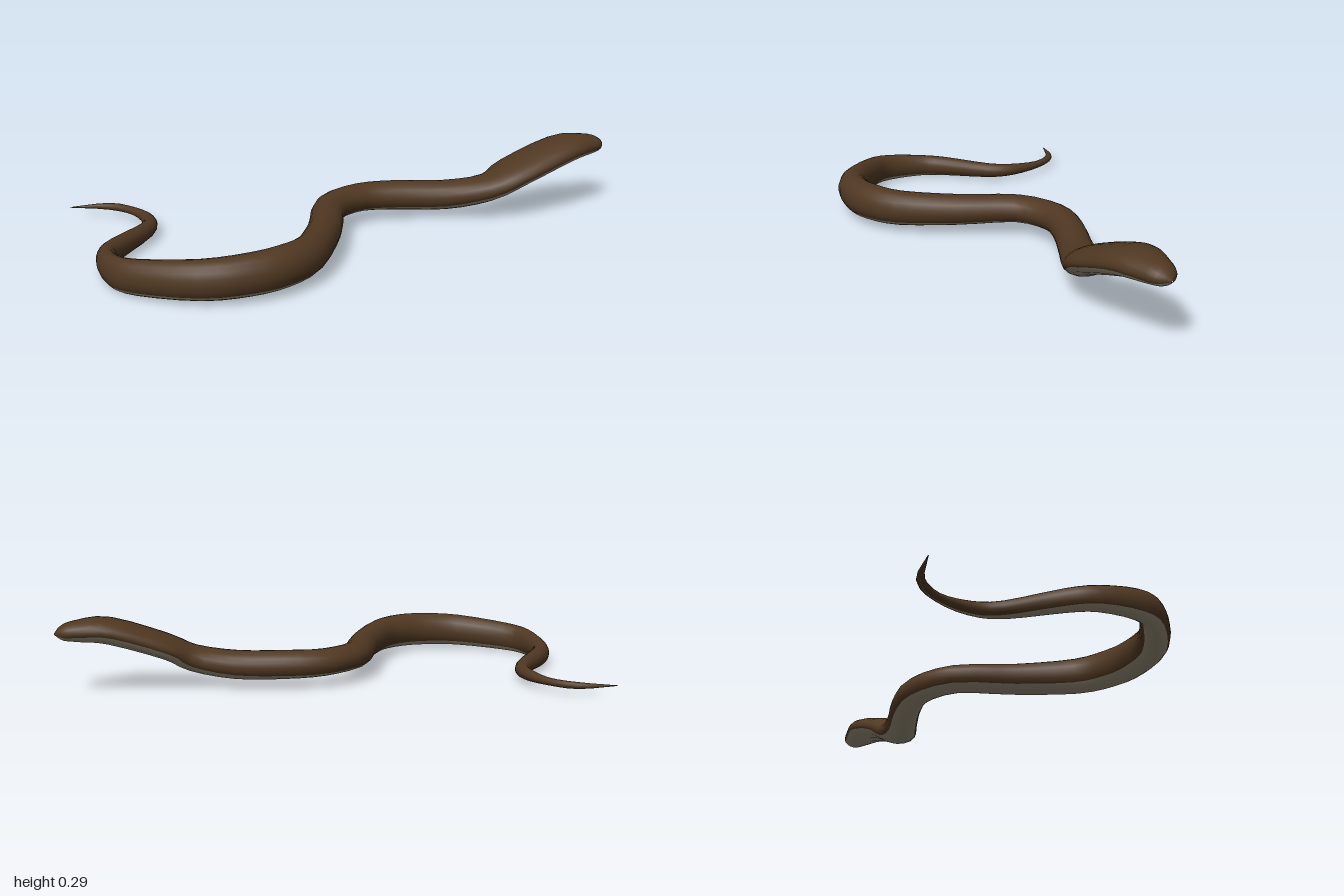
import * as THREE from 'three';

// Stations from tail tip to snout: x, y, z, half width, half height, belly half angle
const STATIONS = [
  [-0.83, 0.04, -0.57, 0.001, 0.001, 0.02],
  [-0.70, 0.04, -0.50, 0.014, 0.013, 0.02],
  [-0.643, 0.04, -0.39, 0.016, 0.015, 0.1],
  [-0.645, 0.042, -0.26, 0.024, 0.024, 0.3],
  [-0.70, 0.043, -0.165, 0.03, 0.03, 0.5],
  [-0.86, 0.045, -0.05, 0.035, 0.04, 0.7],
  [-0.93, 0.048, 0.03, 0.036, 0.045, 0.8],
  [-0.963, 0.058, 0.17, 0.037, 0.055, 0.85],
  [-0.93, 0.066, 0.28, 0.045, 0.06, 0.85],
  [-0.79, 0.08, 0.44, 0.056, 0.067, 0.85],
  [-0.65, 0.087, 0.50, 0.06, 0.07, 0.85],
  [-0.53, 0.09, 0.505, 0.062, 0.07, 0.85],
  [-0.40, 0.09, 0.455, 0.06, 0.066, 0.85],
  [-0.24, 0.093, 0.30, 0.06, 0.058, 0.85],
  [-0.10, 0.097, 0.125, 0.06, 0.052, 0.85],
  [0.06, 0.095, 0.075, 0.06, 0.052, 0.85],
  [0.20, 0.092, 0.12, 0.06, 0.055, 0.9],
  [0.36, 0.09, 0.215, 0.063, 0.055, 1.0],
  [0.50, 0.115, 0.295, 0.08, 0.05, 1.2],
  [0.60, 0.165, 0.325, 0.108, 0.048, 1.35],
  [0.80, 0.235, 0.365, 0.097, 0.05, 1.3],
  [0.91, 0.242, 0.38, 0.066, 0.041, 1.2],
  [0.97, 0.238, 0.387, 0.042, 0.028, 1.1],
  [1.0, 0.235, 0.39, 0.002, 0.002, 1.0],
];
const STEPS = (STATIONS.length - 1) * 3;
const BELLY = 6, BACK = 14, SIDES = BELLY + BACK;

const spline = (from) => new THREE.CatmullRomCurve3(
  STATIONS.map((s) => new THREE.Vector3(s[from], s[from + 1], s[from + 2])), false, 'catmullrom', 0.5);

// Elliptical cross-sections swept along the spine, split into belly and back faces
function snakeGeometry() {
  const spine = spline(0), sizes = spline(3);
  const up = new THREE.Vector3(), side = new THREE.Vector3(), p = new THREE.Vector3();
  const positions = [], belly = [], back = [];

  for (let i = 0; i <= STEPS; i++) {
    const t = i / STEPS;
    const centre = spine.getPoint(t), size = sizes.getPoint(t), tangent = spine.getTangent(t);
    const width = Math.max(size.x, 0.001), height = Math.max(size.y, 0.001);
    const half = Math.max(size.z, 0.01);
    side.crossVectors(tangent, up.set(0, 1, 0)).normalize();
    up.crossVectors(side, tangent).normalize();

    for (let j = 0; j < SIDES; j++) {
      // Angle 0 is the bottom; the first columns span the belly
      const a = j < BELLY
        ? -half + (2 * half * j) / BELLY
        : half + ((2 * Math.PI - 2 * half) * (j - BELLY)) / BACK;
      p.copy(centre).addScaledVector(side, width * Math.sin(a)).addScaledVector(up, -height * Math.cos(a));
      positions.push(p.x, p.y, p.z);

      if (i < STEPS) {
        const k = (j + 1) % SIDES, row = i * SIDES, next = row + SIDES;
        (j < BELLY ? belly : back).push(row + j, next + j, row + k, next + j, next + k, row + k);
      }
    }
  }

  const geometry = new THREE.BufferGeometry();
  geometry.setAttribute('position', new THREE.Float32BufferAttribute(positions, 3));
  geometry.setIndex([...back, ...belly]);
  geometry.addGroup(0, back.length, 0);
  geometry.addGroup(back.length, belly.length, 1);
  geometry.computeVertexNormals();
  return geometry;
}

export function createModel() {
  const backMaterial = new THREE.MeshStandardMaterial({ color: 0x503822 });
  backMaterial.name = 'brownBack';
  const bellyMaterial = new THREE.MeshStandardMaterial({ color: 0x958c76 });
  bellyMaterial.name = 'paleBelly';

  const group = new THREE.Group();
  group.name = 'snake';
  const body = new THREE.Mesh(snakeGeometry(), [backMaterial, bellyMaterial]);
  body.name = 'snakeBody';
  group.add(body);
  return group;
}
